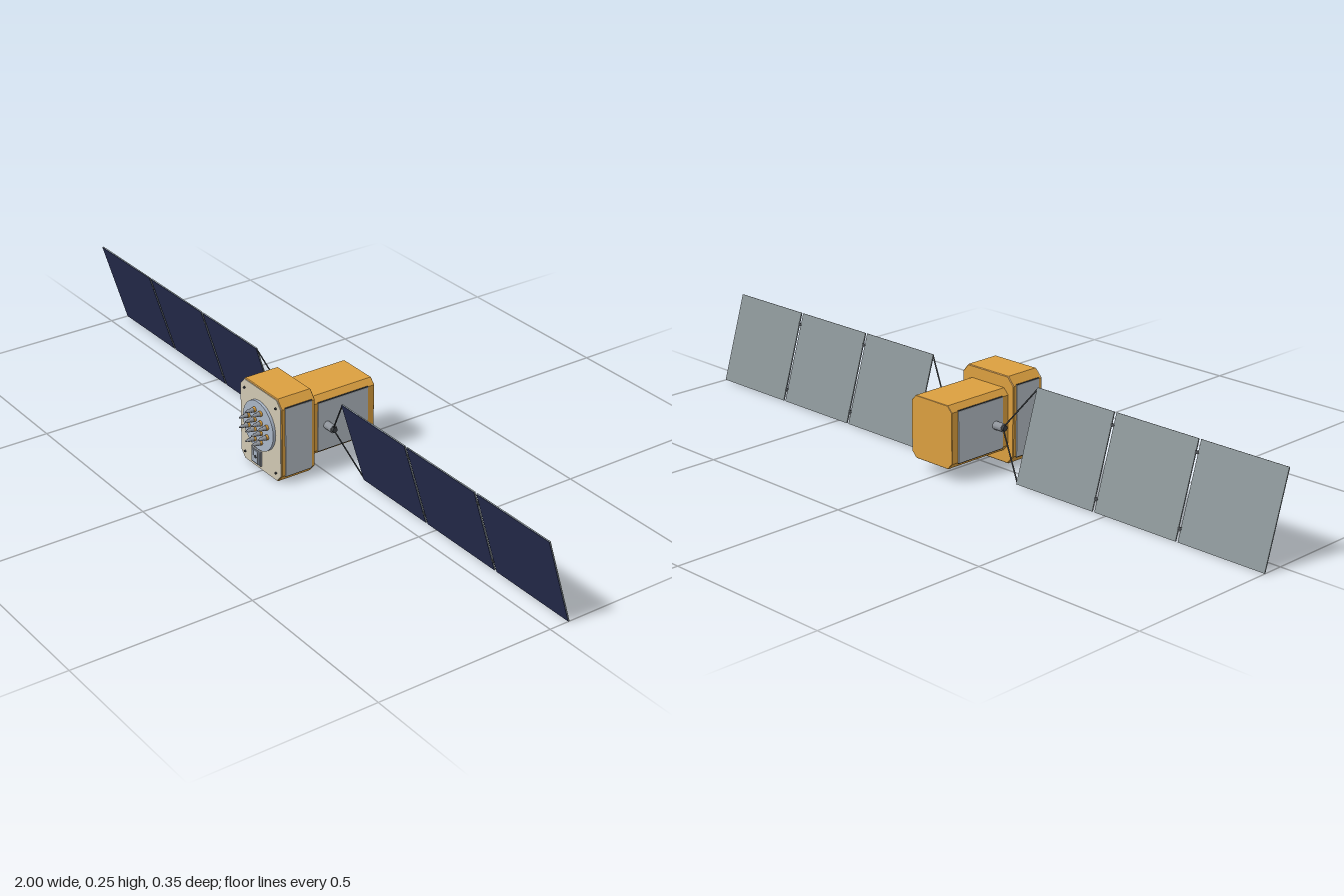
import * as THREE from 'three';

const paint = (name, color) => {
  const m = new THREE.MeshStandardMaterial({ color });
  m.name = name;
  return m;
};

export function createModel() {
  const gold = paint('gold foil', 0xdb9f3f);
  const silver = paint('silver radiator', 0xb1b9c1);
  const beige = paint('beige deck', 0xcfc7b2);
  const navy = paint('navy solar cells', 0x262d50);
  const backing = paint('panel backing grey', 0x879194);
  const dark = paint('dark strut', 0x3a3e42);
  const paleBlue = paint('pale blue dish', 0xa9b5c6);
  const metal = paint('antenna metal', 0x8d9299);

  const model = new THREE.Group();
  model.name = 'satellite';

  const add = (parent, name, geometry, material, x = 0, y = 0, z = 0) => {
    const mesh = new THREE.Mesh(geometry, material);
    mesh.name = name;
    mesh.position.set(x, y, z);
    parent.add(mesh);
    return mesh;
  };
  const box = (parent, name, w, h, d, material, x, y, z) =>
    add(parent, name, new THREE.BoxGeometry(w, h, d), material, x, y, z);

  // Block with cut corners, running from z0 to z1
  const block = (name, hw, y0, y1, cx, cy, z0, z1, bevel, material) => {
    const a = hw - bevel, b = y0 + bevel, t = y1 - bevel;
    const shape = new THREE.Shape([
      [-a + cx, b], [a - cx, b], [a, b + cy], [a, t - cy],
      [a - cx, t], [-a + cx, t], [-a, t - cy], [-a, b + cy],
    ].map(([x, y]) => new THREE.Vector2(x, y)));
    const geometry = new THREE.ExtrudeGeometry(shape, {
      depth: z1 - z0 - 2 * bevel, bevelEnabled: bevel > 0,
      bevelSize: bevel, bevelThickness: bevel, bevelSegments: 1,
    });
    return add(model, name, geometry, material, 0, 0, z0 + bevel);
  };

  // Thin rod between two points
  const rod = (parent, name, from, to, r, material) => {
    const a = new THREE.Vector3(...from), b = new THREE.Vector3(...to);
    const dir = b.clone().sub(a);
    const mesh = add(parent, name, new THREE.CylinderGeometry(r, r, dir.length(), 8), material);
    mesh.position.copy(a).add(b).multiplyScalar(0.5);
    mesh.quaternion.setFromUnitVectors(new THREE.Vector3(0, 1, 0), dir.normalize());
    return mesh;
  };

  // Body
  block('rearBody', 0.075, 0.04, 0.213, 0.015, 0.016, -0.175, 0.032, 0.001, gold);
  block('frontBody', 0.094, 0.005, 0.247, 0.019, 0.022, 0.03, 0.135, 0.002, gold);
  block('frontDeck', 0.092, 0.008, 0.244, 0.018, 0.02, 0.134, 0.137, 0, beige);

  // Side radiators
  for (const s of [-1, 1]) {
    box(model, 'frontRadiator', 0.004, 0.198, 0.083, silver, s * 0.0945, 0.126, 0.0825);
    box(model, 'rearRadiator', 0.004, 0.141, 0.161, silver, s * 0.0755, 0.126, -0.0725);
    for (const y of [0.026, 0.226])
      box(model, 'frontRadiatorEdge', 0.003, 0.002, 0.083, dark, s * 0.094, y, 0.0825);
    for (const y of [0.0545, 0.1975])
      box(model, 'rearRadiatorEdge', 0.003, 0.002, 0.161, dark, s * 0.075, y, -0.0725);
  }

  // Antenna array on a round base
  const disc = add(model, 'antennaBase', new THREE.CylinderGeometry(0.07, 0.07, 0.009, 40), paleBlue, 0, 0.14, 0.1405);
  disc.rotation.x = Math.PI / 2;
  const profile = [[0.0065, 0], [0.0065, 0.007], [0.0045, 0.008], [0.005, 0.017], [0.003, 0.018], [0.002, 0.025], [0, 0.025]]
    .map(([r, h]) => new THREE.Vector2(r, h));
  const hornGeometry = new THREE.LatheGeometry(profile, 12);
  const collarGeometry = new THREE.CylinderGeometry(0.0075, 0.0075, 0.007, 12);
  for (let i = 0; i < 4; i++) {
    for (let j = 0; j < 4; j++) {
      if ((i === 0 || i === 3) && (j === 0 || j === 3)) continue;
      const x = (i - 1.5) * 0.0285, y = 0.14 + (j - 1.5) * 0.0285;
      add(model, 'antennaCollar', collarGeometry, gold, x, y, 0.1475).rotation.x = Math.PI / 2;
      add(model, 'antennaHorn', hornGeometry, metal, x, y, 0.15).rotation.x = Math.PI / 2;
    }
  }

  // Sensor box below the array
  box(model, 'sensorBase', 0.043, 0.043, 0.006, metal, -0.016, 0.04, 0.139);
  box(model, 'sensorFace', 0.036, 0.036, 0.003, paleBlue, -0.016, 0.04, 0.1425);
  for (const x of [-0.026, -0.006])
    box(model, 'sensorRib', 0.004, 0.036, 0.003, metal, x, 0.04, 0.1435);
  add(model, 'sensorLens', new THREE.CylinderGeometry(0.005, 0.005, 0.004, 12), dark, -0.016, 0.04, 0.143)
    .rotation.x = Math.PI / 2;

  // Corner studs
  for (const x of [-0.072, 0.072])
    for (const y of [0.03, 0.22])
      add(model, 'deckStud', new THREE.CylinderGeometry(0.003, 0.003, 0.005, 8), dark, x, y, 0.139)
        .rotation.x = Math.PI / 2;

  // Solar wings, tilted about the boom
  for (const s of [-1, 1]) {
    const wing = new THREE.Group();
    wing.name = s > 0 ? 'leftWing' : 'rightWing';
    wing.position.set(0, 0.126, -0.02);
    wing.rotation.x = THREE.MathUtils.degToRad(17.1);
    model.add(wing);

    rod(wing, 'boom', [s * 0.07, 0, 0], [s * 0.108, 0, 0], 0.0115, metal);
    rod(wing, 'boomCap', [s * 0.108, 0, 0], [s * 0.114, 0, 0], 0.008, dark);
    for (const v of [-1, 1])
      rod(wing, 'yokeStrut', [s * 0.108, v * 0.004, 0], [s * 0.195, v * 0.126, 0], 0.002, dark);

    const width = 0.264, pitch = 0.2715;
    for (let i = 0; i < 3; i++) {
      const x = s * (0.193 + width / 2 + i * pitch);
      box(wing, 'panelBacking', width, 0.257, 0.003, backing, x, 0, -0.0005);
      box(wing, 'solarCells', width - 0.001, 0.256, 0.001, navy, x, 0, 0.0015);
      if (i === 0) continue;
      for (const y of [-0.095, 0.095])
        box(wing, 'panelHinge', 0.012, 0.008, 0.005, dark, s * (0.193 + i * pitch - 0.00375), y, 0);
    }
  }
  return model;
}
